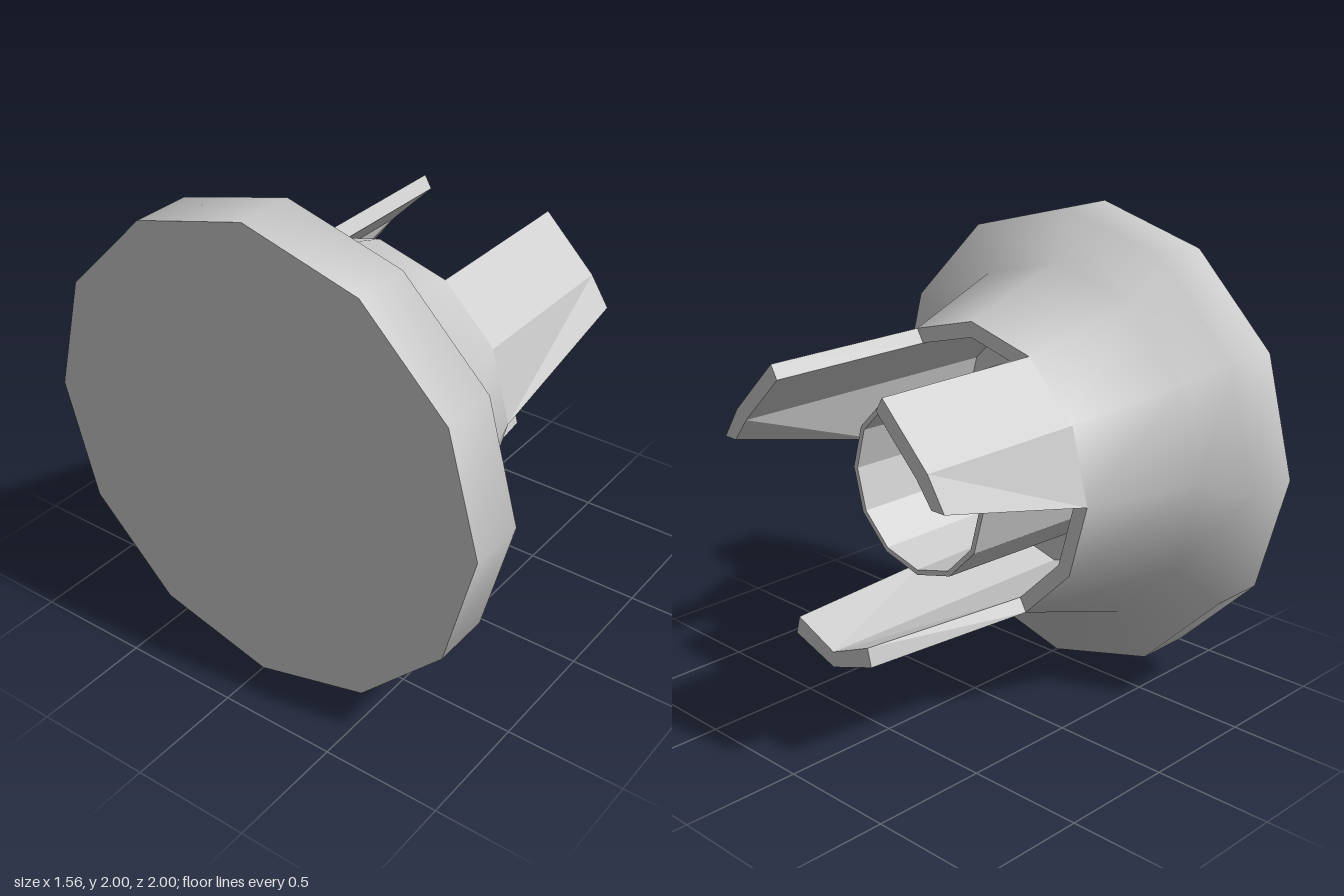
import * as THREE from 'three';

const SIDES = 12, FACE = 0.02, TIP = 0.78, FLOOR = -0.5;
const R_OUT = 0.62, R_IN = 0.555;

const grey = () => new THREE.MeshStandardMaterial({ color: 0xcccccc });

// Twelve-sided turned part along x, from [x, radius] pairs
function turned(name, profile, flat) {
  const points = profile.map(([x, r]) => new THREE.Vector2(r, x));
  let geo = new THREE.LatheGeometry(points, SIDES).rotateZ(-Math.PI / 2);
  if (flat) {
    geo = geo.toNonIndexed();
    geo.computeVertexNormals();
  }
  const mesh = new THREE.Mesh(geo, grey());
  mesh.name = name;
  return mesh;
}

// [z, y] point on a circle around the axis
const polar = (r, deg) => {
  const a = THREE.MathUtils.degToRad(deg);
  return [r * Math.cos(a), r * Math.sin(a)];
};

// Prong lofted between two six-point loops (three outer, then three inner)
function prong(name, base, tip) {
  const B = base.map(([z, y]) => [FACE, y, z]);
  const T = tip.map(([z, y]) => [TIP, y, z]);
  const pos = [];
  const tri = (...corners) => corners.forEach((c) => pos.push(...c));
  for (let i = 0; i < 6; i++) {
    const j = (i + 1) % 6;
    // Folds run from the base edge to the middle of the tip
    if (i === 1 || i === 4) {
      tri(B[i], B[j], T[i]);
      tri(B[j], T[j], T[i]);
    } else {
      tri(B[i], B[j], T[j]);
      tri(B[i], T[j], T[i]);
    }
  }
  // Tip cap
  for (let k = 0; k < 2; k++) {
    tri(T[k], T[k + 1], T[4 - k]);
    tri(T[k], T[4 - k], T[5 - k]);
  }
  const geo = new THREE.BufferGeometry();
  geo.setAttribute('position', new THREE.Float32BufferAttribute(pos, 3));
  geo.computeVertexNormals();
  const mesh = new THREE.Mesh(geo, grey());
  mesh.name = name;
  return mesh;
}

// Loop from three angles: out along the outer radius, back along the inner
const section = (angles) => [
  ...angles.map((a) => polar(R_OUT, a)),
  ...[...angles].reverse().map((a) => polar(R_IN, a)),
];
// Mirror in z, keeping the winding and the outer-then-inner order
const mirrorLoop = (loop) => [2, 1, 0, 5, 4, 3].map((i) => [-loop[i][0], loop[i][1]]);

export function createModel() {
  const model = new THREE.Group();
  model.name = 'flangedSocket';
  const body = new THREE.Group();
  body.name = 'body';

  // Smooth flange and tapering hub, with a flat back
  body.add(turned('flangeAndHub', [[-0.78, 1], [-0.53, 1], [-0.48, 0.78], [FACE, R_OUT]], false));
  body.add(turned('backPlate', [[-0.78, 0], [-0.78, 1]], true));

  // Hub rim and the deep recess around the tube
  body.add(turned('hubRecess', [[FACE, R_OUT], [FACE, R_IN], [FLOOR, R_IN], [FLOOR, 0.39]], true));

  // Slightly drafted inner tube and its floor
  body.add(turned('innerTube', [[FLOOR, 0.39], [0.33, 0.37], [0.33, 0.348], [FLOOR, 0.335], [FLOOR, 0]], true));

  // Side prongs: the lower edge rises toward the tip
  const sideBase = section([60, 30, 0]);
  const sideTip = sideBase.map((p) => [...p]);
  sideTip[2][1] = sideTip[3][1] = 0.18;
  const prongs = new THREE.Group();
  prongs.name = 'prongs';
  prongs.add(prong('frontProng', sideBase, sideTip));
  prongs.add(prong('backProng', mirrorLoop(sideBase), mirrorLoop(sideTip)));

  // Bottom prong: both edges narrow toward the tip
  const lowBase = section([300, 270, 240]);
  const lowTip = lowBase.map((p) => [...p]);
  lowTip[0] = [0.22, -0.545];
  lowTip[2] = [-0.22, -0.545];
  lowTip[3] = [-0.2, -0.47];
  lowTip[5] = [0.2, -0.47];
  prongs.add(prong('bottomProng', lowBase, lowTip));

  model.add(body, prongs);
  model.position.y = 1;
  const root = new THREE.Group();
  root.add(model);
  return root;
}
